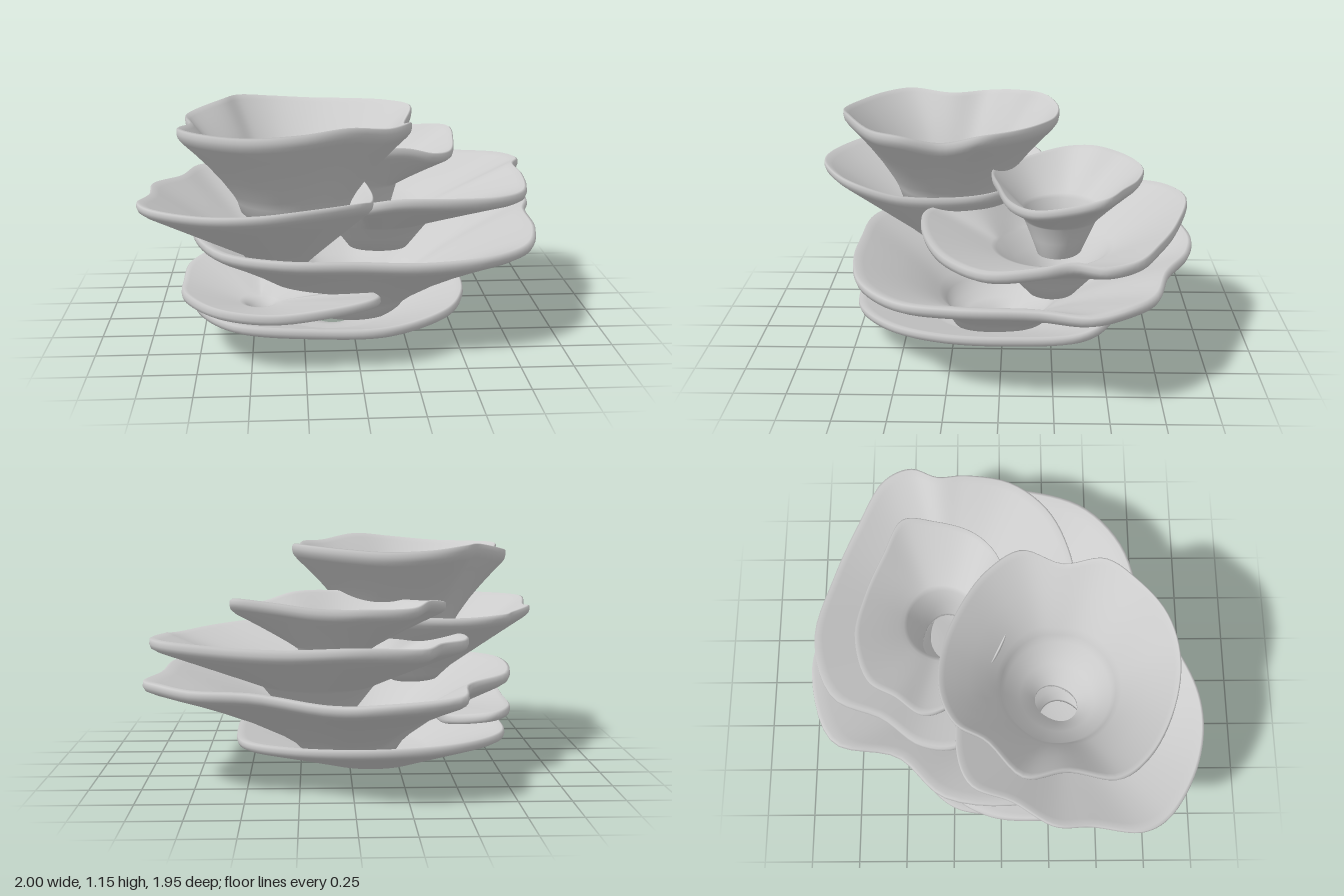
import * as THREE from 'three';

const SEGMENTS = 96;

// One funnel-shaped plate. rim: [x, z, y] of the upper lip, running from +x towards +z.
// base: centre and radius of the foot; flare below 1 makes the foot steeper than the lip;
// stem is how far the foot tapers down to its open throat.
function plate(name, base, rim, material) {
  const { x, y, z, r, flare = 1, hole = 0.1, lip = 0.05, stem = 0.08 } = base;
  const curve = new THREE.CatmullRomCurve3(
    rim.map(([px, pz, py]) => new THREE.Vector3(px, py, pz)), true, 'centripetal');

  // closed section: [distance from throat (-1) over foot (0) to lip (1), thickness (0 under, 1 upper)]
  const section = [
    [-1, 0], [-0.5, 0], [0, 0], [0.07, 0], [0.15, 0], [0.35, 0], [0.55, 0], [0.75, 0], [0.93, 0],
    [0.985, 0.1], [1, 0.4], [0.995, 0.8], [0.97, 1], [0.9, 1], [0.75, 1], [0.55, 1], [0.35, 1],
    [0.15, 1], [0.07, 1], [0, 1], [-0.5, 0.9], [-1, 0.6],
  ];
  const positions = [], indices = [];
  for (let j = 0; j < SEGMENTS; j++) {
    const p = curve.getPoint(j / SEGMENTS);
    const angle = Math.atan2(p.z - z, p.x - x);
    const reach = Math.hypot(p.x - x, p.z - z);
    const throat = hole * (1 + 0.12 * Math.sin(2 * angle + x * 9));
    for (const [s, t] of section) {
      const radius = s < 0 ? r + (r - throat) * s : r + (reach - r) * s;
      const under = s < 0 ? y + stem * s : y + (p.y - lip - y) * Math.pow(s, flare);
      positions.push(x + Math.cos(angle) * radius, under + lip * t, z + Math.sin(angle) * radius);
    }
  }
  const n = section.length;
  for (let j = 0; j < SEGMENTS; j++) {
    const k = (j + 1) % SEGMENTS;
    for (let i = 0; i < n; i++) {
      const m = (i + 1) % n;
      const a = j * n + i, b = j * n + m, c = k * n + i, d = k * n + m;
      indices.push(a, b, c, b, d, c);
    }
  }
  const geometry = new THREE.BufferGeometry();
  geometry.setAttribute('position', new THREE.Float32BufferAttribute(positions, 3));
  geometry.setIndex(indices);
  geometry.computeVertexNormals();
  const mesh = new THREE.Mesh(geometry, material);
  mesh.name = name;
  return mesh;
}

export function createModel() {
  const group = new THREE.Group();
  group.name = 'plateCoral';
  const material = new THREE.MeshStandardMaterial({ color: 0xcccccc, side: THREE.DoubleSide });
  const add = (name, base, rim) => group.add(plate(name, base, rim, material));

  // foot plate
  add('bottomPlate', { x: -0.11, y: 0.015, z: 0.08, r: 0.27, stem: 0.01 }, [
    [0.57, -0.05, 0.22], [0.54, 0.28, 0.22], [0.42, 0.54, 0.22], [0.14, 0.73, 0.21],
    [-0.2, 0.74, 0.21], [-0.58, 0.67, 0.22], [-0.76, 0.44, 0.23], [-0.79, 0.1, 0.22],
    [-0.75, -0.25, 0.22], [-0.5, -0.46, 0.21], [-0.1, -0.57, 0.21], [0.28, -0.56, 0.22],
    [0.52, -0.4, 0.22],
  ]);

  // small crescent shelf at the front right of the foot
  add('lowerShelf', { x: -0.46, y: 0.19, z: 0.43, r: 0.08, hole: 0.04, stem: 0.03 }, [
    [0.11, 0.5, 0.29], [0.07, 0.66, 0.32], [-0.12, 0.77, 0.32], [-0.4, 0.82, 0.31],
    [-0.65, 0.75, 0.32], [-0.81, 0.55, 0.33], [-0.84, 0.26, 0.31], [-0.82, -0.06, 0.31],
    [-0.7, -0.24, 0.31], [-0.5, -0.14, 0.28], [-0.43, 0.12, 0.28], [-0.32, 0.3, 0.28],
    [-0.12, 0.4, 0.28], [0.06, 0.42, 0.28],
  ]);

  // widest plate
  add('widePlate', { x: 0.0, y: 0.07, z: 0.02, r: 0.24, flare: 0.7, lip: 0.06, stem: 0.03 }, [
    [0.94, -0.18, 0.53], [0.92, 0.19, 0.53], [0.83, 0.46, 0.52], [0.61, 0.65, 0.52],
    [0.3, 0.73, 0.52], [0.0, 0.73, 0.53], [-0.35, 0.7, 0.53], [-0.65, 0.5, 0.52],
    [-0.8, 0.15, 0.54], [-0.77, -0.28, 0.53], [-0.56, -0.52, 0.52], [-0.48, -0.85, 0.52],
    [-0.13, -0.975, 0.51], [0.1, -0.945, 0.5], [0.46, -0.8, 0.53], [0.75, -0.72, 0.53],
    [0.91, -0.6, 0.54], [0.995, -0.42, 0.53],
  ]);

  // middle plate at the back left
  add('backMiddlePlate', { x: 0.16, y: 0.47, z: -0.25, r: 0.28, lip: 0.06, stem: 0.16, hole: 0.14 }, [
    [0.92, -0.18, 0.72], [0.89, 0.06, 0.69], [0.73, 0.25, 0.7], [0.48, 0.36, 0.72],
    [0.22, 0.39, 0.73], [0.04, 0.34, 0.7], [-0.02, 0.13, 0.69], [-0.25, -0.04, 0.7],
    [-0.48, -0.08, 0.7], [-0.57, -0.23, 0.71], [-0.55, -0.4, 0.71], [-0.42, -0.58, 0.72],
    [-0.31, -0.83, 0.73], [-0.02, -0.93, 0.75], [0.33, -0.85, 0.73], [0.62, -0.74, 0.73],
    [0.88, -0.61, 0.74], [0.95, -0.47, 0.74], [0.9, -0.33, 0.74],
  ]);

  // middle plate at the front right
  add('frontMiddlePlate', { x: -0.36, y: 0.47, z: 0.32, r: 0.2, stem: 0.08, hole: 0.12 }, [
    [0.08, 0.3, 0.76], [0.07, 0.55, 0.77], [0.0, 0.78, 0.82], [-0.24, 0.93, 0.83],
    [-0.46, 0.975, 0.82], [-0.7, 0.93, 0.81], [-0.93, 0.79, 0.81], [-1.0, 0.66, 0.81],
    [-0.97, 0.42, 0.79], [-0.97, 0.25, 0.8], [-0.85, 0.05, 0.79], [-0.77, -0.15, 0.8],
    [-0.56, -0.22, 0.79], [-0.2, -0.15, 0.79], [0.03, 0.06, 0.77],
  ]);

  // upper cup at the back left
  add('backUpperCup', { x: 0.08, y: 0.65, z: -0.29, r: 0.18, flare: 0.92, hole: 0.12, stem: 0.17 }, [
    [0.57, -0.33, 0.88], [0.53, -0.15, 0.85], [0.43, -0.04, 0.86], [0.28, 0.02, 0.9],
    [0.03, 0.05, 0.9], [-0.25, -0.08, 0.87], [-0.43, -0.28, 0.88], [-0.45, -0.38, 0.89],
    [-0.37, -0.5, 0.91], [-0.28, -0.64, 0.89], [-0.05, -0.71, 0.89], [0.16, -0.67, 0.89],
    [0.38, -0.58, 0.91], [0.56, -0.49, 0.92],
  ]);

  // topmost cup
  add('topCup', { x: -0.29, y: 0.66, z: 0.28, r: 0.26, flare: 0.74, lip: 0.06, stem: 0.16 }, [
    [0.24, 0.3, 1.09], [0.25, 0.5, 1.13], [0.14, 0.65, 1.13], [-0.05, 0.78, 1.16],
    [-0.26, 0.83, 1.14], [-0.5, 0.79, 1.12], [-0.72, 0.67, 1.12], [-0.82, 0.53, 1.12],
    [-0.78, 0.3, 1.1], [-0.81, 0.1, 1.11], [-0.65, -0.07, 1.15], [-0.57, -0.21, 1.15],
    [-0.4, -0.285, 1.13], [-0.18, -0.27, 1.12], [0.03, -0.18, 1.13], [0.19, -0.06, 1.14],
    [0.29, 0.1, 1.14],
  ]);

  return group;
}
